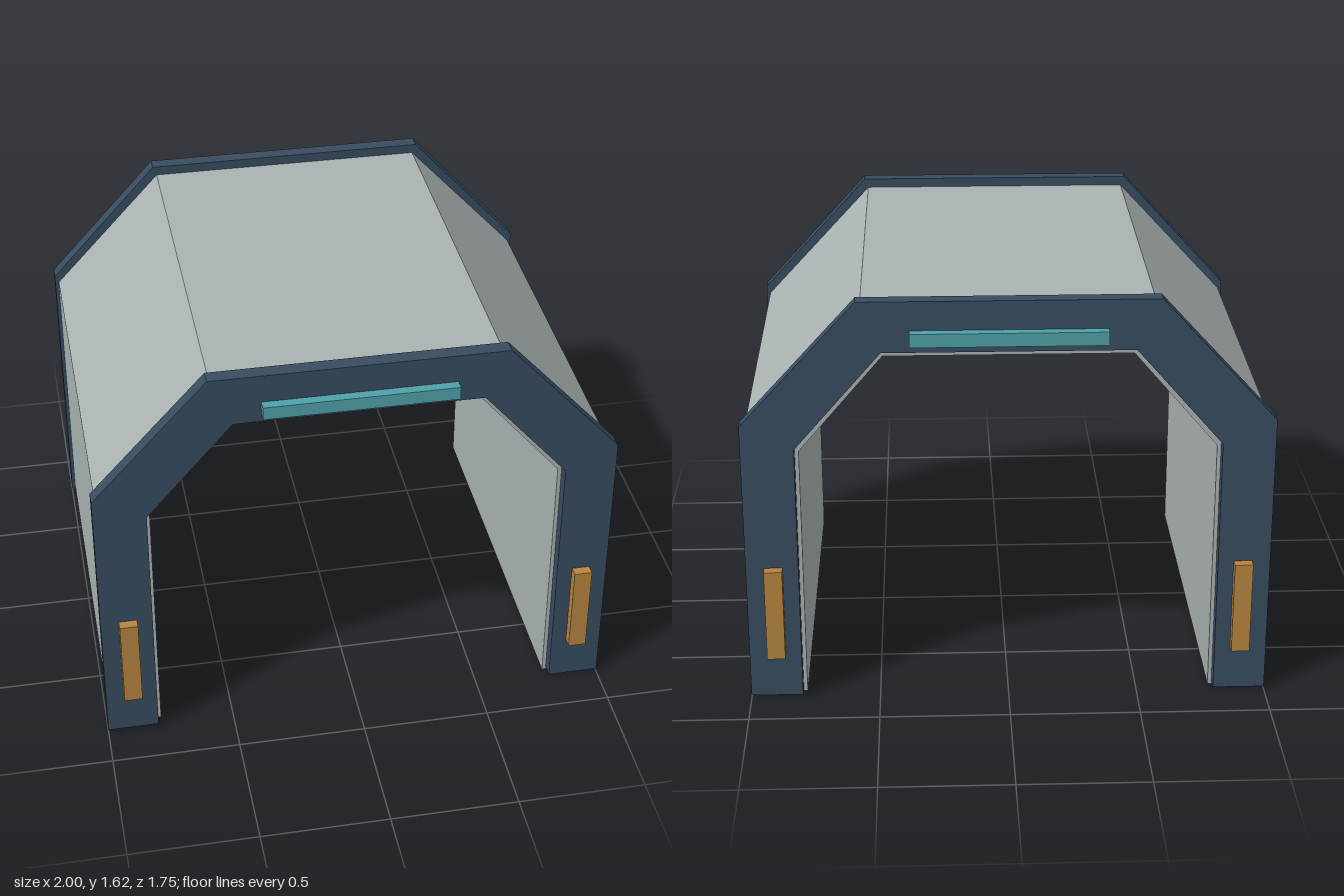
import * as THREE from 'three';

const material = (name, color) => {
  const m = new THREE.MeshStandardMaterial({ color });
  m.name = name;
  return m;
};

// Right half of an arch, mirrored into a closed outline
function archGeometry(half, z0, z1) {
  const mirrored = half.map(([x, y]) => [-x, y]).reverse();
  const shape = new THREE.Shape([...half, ...mirrored].map(([x, y]) => new THREE.Vector2(x, y)));
  const geo = new THREE.ExtrudeGeometry(shape, { depth: z1 - z0, bevelEnabled: false });
  return geo.translate(0, 0, z0);
}

export function createModel() {
  const group = new THREE.Group();
  const grey = material('panel grey', 0xaab2b2);
  const navy = material('frame navy', 0x384c5f);
  const amber = material('marker amber', 0xb8843e);
  const teal = material('light teal', 0x4fa2a9);

  const add = (name, geo, mat, x = 0, y = 0, z = 0) => {
    const mesh = new THREE.Mesh(geo, mat);
    mesh.name = name;
    mesh.position.set(x, y, z);
    group.add(mesh);
  };

  // Tunnel shell: inner top corner down to the foot, then up the outside
  add('tunnelShell', archGeometry([
    [0.465, 1.395], [0.785, 1.02], [0.785, 0], [0.985, 0], [0.985, 1.11], [0.545, 1.585],
  ], -0.787, 0.787), grey);

  // End frames with a light bar and two side markers each
  const frame = [
    [0.47, 1.425], [0.8, 1.045], [0.8, 0.012], [1, 0.012], [1, 1.14], [0.56, 1.622],
  ];
  for (const [end, s] of [['front', 1], ['back', -1]]) {
    const [z0, z1] = s > 0 ? [0.778, 0.836] : [-0.836, -0.778];
    add(end + 'Frame', archGeometry(frame, z0, z1), navy);
    add(end + 'LightBar', new THREE.BoxGeometry(0.73, 0.052, 0.05), teal, 0, 1.484, s * 0.85);
    for (const [side, x] of [['Left', 0.895], ['Right', -0.895]]) {
      add(end + side + 'Marker', new THREE.BoxGeometry(0.07, 0.37, 0.05), amber, x, 0.375, s * 0.85);
    }
  }
  return group;
}
